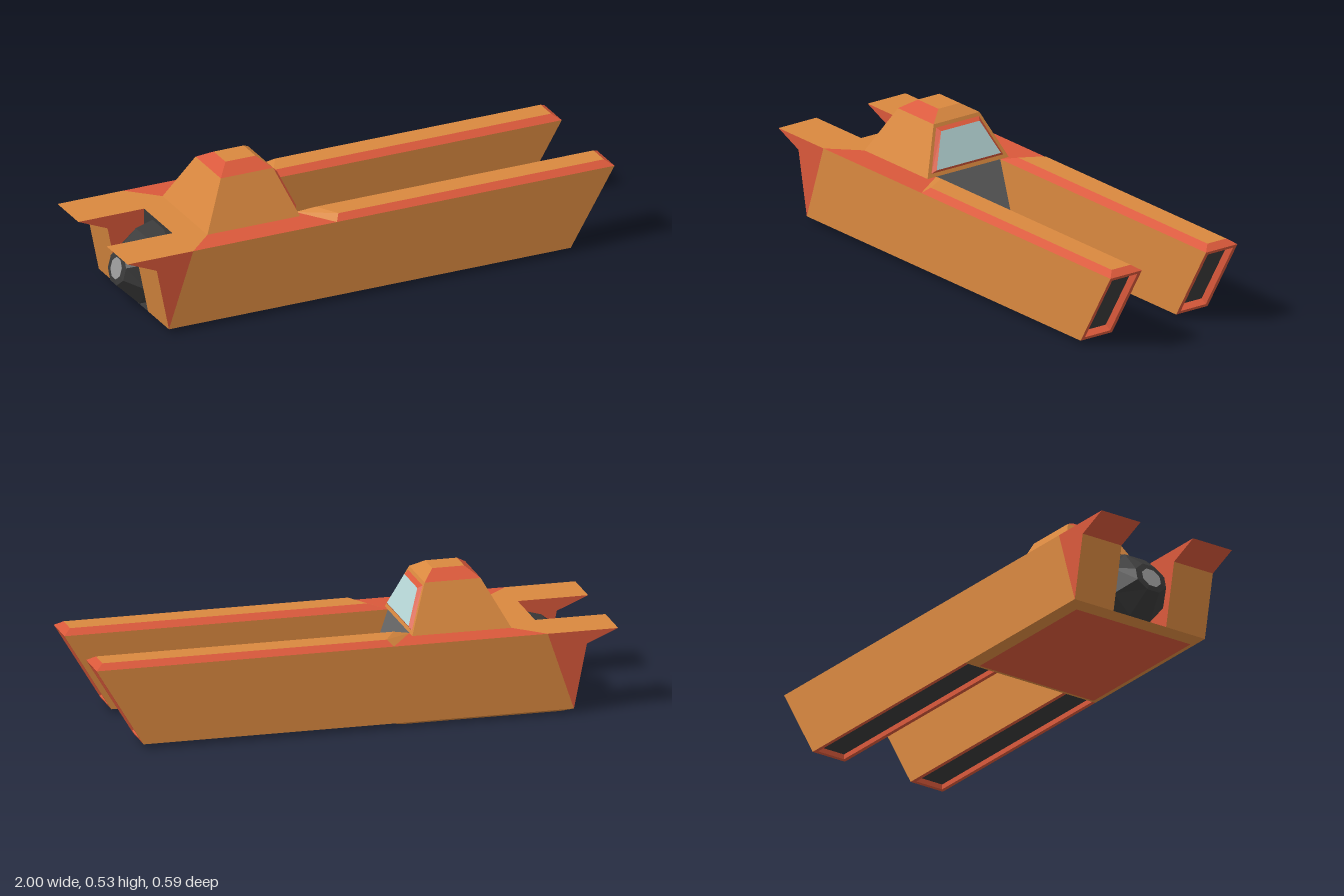
import * as THREE from 'three';

const ORANGE = 0xd9883f, RED = 0xd9583a, DARK = 0x3a3a3a, GREY = 0x666666, GLASS = 0xb8d8d8, LIGHT = 0x999999;
const V = (p) => new THREE.Vector3(...p);
const mean = (pts) => [0, 1, 2].map((i) => pts.reduce((s, p) => s + p[i], 0) / pts.length);

// Mesh of flat polygons, each turned away from a centre point (or toward it when inward)
function panels(parent, name, color, polygons, centre, inward = false) {
  const pos = [];
  for (const poly of polygons) {
    const n = new THREE.Vector3();
    poly.forEach((p, i) => n.add(V(p).cross(V(poly[(i + 1) % poly.length]))));
    const out = n.dot(V(mean(poly)).sub(V(centre))) > 0;
    const loop = out !== inward ? poly : [poly[0], ...poly.slice(1).reverse()];
    for (let i = 1; i < loop.length - 1; i++) pos.push(...loop[0], ...loop[i], ...loop[i + 1]);
  }
  const g = new THREE.BufferGeometry();
  g.setAttribute('position', new THREE.Float32BufferAttribute(pos, 3));
  g.computeVertexNormals();
  const mesh = new THREE.Mesh(g, new THREE.MeshStandardMaterial({ color, flatShading: true }));
  mesh.name = name;
  parent.add(mesh);
}

// Quads joining two loops of equal length
const bridge = (a, b) => a.map((p, i) => {
  const j = (i + 1) % a.length;
  return [p, a[j], b[j], b[i]];
});

// Horizontal rectangle loop: -z edge, +x edge, +z edge, -x edge
const rect = (x0, x1, hz, y) => [[x0, y, -hz], [x1, y, -hz], [x1, y, hz], [x0, y, hz]];

// Framed panel sunk into a surface by the given offset
function recess(parent, name, outer, inner, offset, centre) {
  const floor = inner.map((p) => p.map((v, i) => v + offset[i]));
  const middle = mean([...inner, ...floor]);
  panels(parent, name + 'Rim', RED, bridge(outer, inner), centre);
  panels(parent, name + 'Walls', RED, bridge(inner, floor), middle, true);
  panels(parent, name + 'Floor', DARK, [floor], middle, true);
}

const LOW = 0.017, DECK = 0.315, OUT = 0.297, IN = 0.15, BAY = 0.12;

// One half of the hull; s is the sign of z
function buildSide(s) {
  const side = new THREE.Group();
  side.name = s > 0 ? 'frontHullHalf' : 'backHullHalf';
  const at = (z, pts) => pts.map(([x, y]) => [x, y, s * z]);
  const flat = (y, pts) => pts.map(([x, z]) => [x, y, s * z]);
  const centre = [0.3, 0.17, s * 0.22];

  // Long side walls
  panels(side, 'sideWalls', ORANGE, [
    at(OUT, [[-0.73, DECK], [-0.83, LOW], [0.82, LOW], [1, DECK]]),
    at(IN, [[-0.24, DECK], [-0.14, LOW], [0.82, LOW], [1, DECK]]),
  ], centre);

  // Raised prong cap
  const base = flat(DECK, [[-0.14, OUT], [1, OUT], [1, IN], [-0.24, IN]]);
  const top = flat(0.335, [[-0.12, 0.268], [0.97, 0.268], [0.97, 0.18], [-0.17, 0.18]]);
  const slopes = bridge(base, top);
  panels(side, 'prongCapEdges', RED, slopes.slice(0, 3), centre);
  panels(side, 'prongCapTop', ORANGE, [slopes[3], top], centre);

  // Sunken panels on the prong's end and underside
  const slant = (y, z) => [0.82 + (y - LOW) * 0.604, y, s * z];
  const ring = (y0, y1, z0, z1) => [slant(y0, z0), slant(y0, z1), slant(y1, z1), slant(y1, z0)];
  recess(side, 'endPanel', ring(LOW, DECK, IN, OUT), ring(0.03, 0.302, 0.165, 0.283), [-0.026, 0.015, 0], centre);
  recess(side, 'underPanel',
    flat(LOW, [[-0.14, IN], [-0.14, OUT], [0.82, OUT], [0.82, IN]]),
    flat(LOW, [[-0.14, 0.165], [-0.14, 0.283], [0.805, 0.283], [0.805, 0.165]]), [0, 0.02, 0], centre);

  // Stern fin
  const fin = [-0.8, 0.28, s * 0.21];
  const across = (a, b) => [[...a, s * OUT], [...b, s * OUT], [...b, s * BAY], [...a, s * BAY]];
  const tip = [-1, DECK], notch = [-0.88, 0.265], heel = [-0.83, LOW];
  panels(side, 'finSides', RED, [
    at(OUT, [notch, heel, [-0.73, DECK], tip]),
    at(BAY, [notch, heel, [-0.73, LOW], [-0.73, DECK], tip]),
    across(tip, notch),
  ], fin);
  panels(side, 'finRear', ORANGE, [across(notch, heel)], fin);

  // Deck
  panels(side, 'rearDeck', ORANGE, [
    flat(DECK, [[-1, BAY], [-1, OUT], [-0.73, OUT], [-0.73, BAY]]),
    flat(DECK, [[-0.73, 0], [-0.73, OUT], [-0.62, 0.19], [-0.62, 0]]),
  ], fin);
  panels(side, 'sideDeck', RED, [flat(DECK, [[-0.73, OUT], [-0.14, OUT], [-0.24, IN], [-0.62, 0.19]])], fin);
  return side;
}

function buildCabin() {
  const cabin = new THREE.Group();
  cabin.name = 'cabin';
  const c = [-0.42, 0.4, 0];
  const base = rect(-0.62, -0.24, 0.19, DECK);
  const shoulder = rect(-0.525, -0.31, 0.107, 0.491);
  const roof = rect(-0.478, -0.355, 0.05, 0.526);
  const upper = bridge(shoulder, roof);
  panels(cabin, 'cabinWalls', ORANGE, bridge(base, shoulder), c);
  panels(cabin, 'roofSlopes', RED, [upper[0], upper[2], upper[3]], c);
  panels(cabin, 'roof', ORANGE, [upper[1], roof], c);

  // Windscreen standing proud of the sloped front
  const frame = (y0, z0, y1, z1, lift) => [[y0, -z0], [y0, z0], [y1, z1], [y1, -z1]]
    .map(([y, z]) => [-0.24 - (y - DECK) * 0.4 + lift, y, z]);
  const outer = frame(0.329, 0.168, 0.478, 0.1, 0.001);
  const pane = frame(0.341, 0.15, 0.467, 0.09, 0.014);
  panels(cabin, 'windscreenFrame', RED, bridge(outer, pane), c);
  panels(cabin, 'windscreen', GLASS, [pane], c);
  return cabin;
}

function buildEngine() {
  const engine = new THREE.Group();
  engine.name = 'engine';
  // Octagon spanning a bottom point and a top point, each [x, y]
  const octagon = ([xb, yb], [xt, yt], hz) => Array.from({ length: 8 }, (_, i) => {
    const a = (i + 0.5) * Math.PI / 4, k = Math.cos(Math.PI / 8);
    const t = 0.5 + Math.sin(a) / k / 2;
    return [xb + (xt - xb) * t, yb + (yt - yb) * t, Math.cos(a) / k * hz];
  });
  const root = octagon([-0.73, 0.018], [-0.73, 0.3], 0.117);
  const waist = octagon([-0.83, 0.018], [-0.8, 0.28], 0.112);
  const end = octagon([-0.914, 0.1], [-0.885, 0.215], 0.065);
  const disc = octagon([-0.913, 0.12], [-0.893, 0.195], 0.04);
  const c = [-0.78, 0.15, 0];
  panels(engine, 'nozzle', DARK, [...bridge(root, waist), ...bridge(waist, end), ...bridge(end, disc)], c);
  panels(engine, 'nozzleEnd', LIGHT, [disc], c);
  return engine;
}

export function createModel() {
  const model = new THREE.Group();
  model.name = 'twinProngCraft';
  for (const s of [1, -1]) model.add(buildSide(s));

  // Centre body: sloped front wall, engine bay wall and floor
  const wall = (x0, y0, x1, y1, z) => [[x0, y0, -z], [x0, y0, z], [x1, y1, z], [x1, y1, -z]];
  const c = [-0.45, 0.15, 0];
  panels(model, 'frontWall', GREY, [wall(-0.14, LOW, -0.24, DECK, IN)], c);
  panels(model, 'bayWall', DARK, [wall(-0.73, LOW, -0.73, DECK, BAY)], c);
  panels(model, 'bayFloor', DARK, [rect(-0.83, -0.73, BAY, LOW)], [-0.78, 0, 0]);

  // Bevelled keel plate
  const keelTop = rect(-0.83, -0.14, OUT, LOW), keelBottom = rect(-0.79, -0.18, 0.26, 0);
  panels(model, 'keelBevel', ORANGE, bridge(keelTop, keelBottom), c);
  panels(model, 'keelPlate', RED, [keelBottom], c);

  model.add(buildCabin(), buildEngine());
  return model;
}
